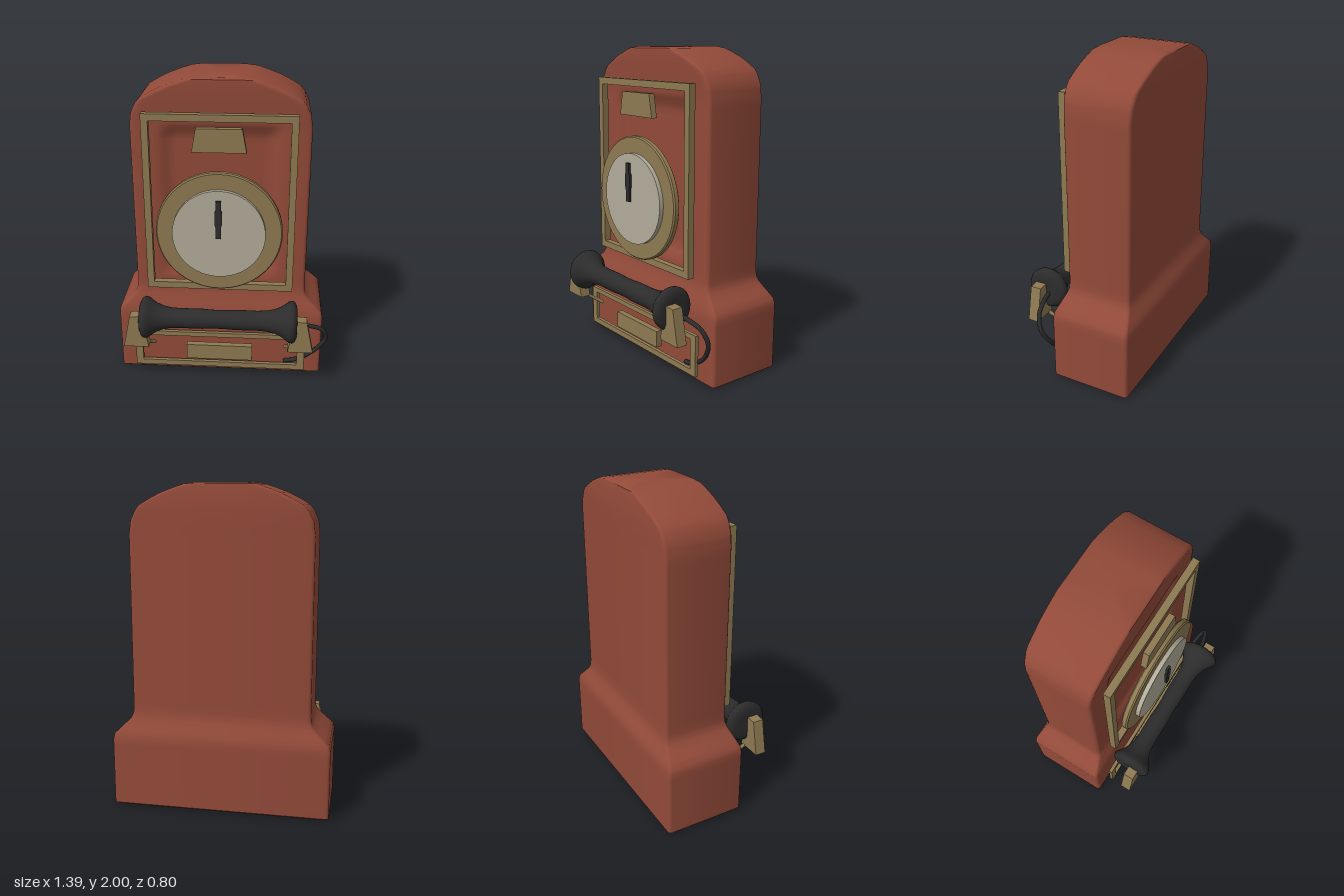
import * as THREE from 'three';
import { toCreasedNormals } from 'three/addons/utils/BufferGeometryUtils.js';

const mat = (name, color) => new THREE.MeshStandardMaterial({ name, color });
const CX = -0.019; // shared centre line of the telephone

// Housing: rounded rectangles stacked upward, with a soft recess in the front
function housingGeometry() {
  // y, half width, front z, back z, corner radius in x
  const keys = [
    [0, 0.66, 0.095, -0.39, 0.02], [0.012, 0.675, 0.11, -0.404, 0.02],
    [0.43, 0.675, 0.11, -0.404, 0.02], [0.465, 0.667, 0.105, -0.399, 0.02],
    [0.56, 0.57, 0.072, -0.365, 0.02], [0.59, 0.555, 0.064, -0.358, 0.02],
    [0.63, 0.551, 0.06, -0.355, 0.02], [1.7, 0.551, 0.064, -0.356, 0.02],
    [1.78, 0.54, 0.068, -0.358, 0.022], [1.84, 0.51, 0.072, -0.361, 0.025],
    [1.87, 0.485, 0.074, -0.363, 0.03], [1.905, 0.425, 0.076, -0.365, 0.04],
    [1.94, 0.355, 0.077, -0.367, 0.05], [1.97, 0.275, 0.077, -0.367, 0.05],
    [1.99, 0.215, 0.076, -0.366, 0.05], [2, 0.15, 0.064, -0.354, 0.04],
  ];
  const rows = [keys[0]];
  for (let i = 1; i < keys.length; i++) {
    const steps = Math.ceil((keys[i][0] - keys[i - 1][0]) / 0.04);
    for (let s = 1; s <= steps; s++) {
      rows.push(keys[i].map((v, k) => THREE.MathUtils.lerp(keys[i - 1][k], v, s / steps)));
    }
  }
  const smooth = THREE.MathUtils.smoothstep;
  const recess = (x, y) => 0.04 * (1 - smooth(Math.abs(x), 0.3, 0.38))
    * smooth(y, 0.7, 0.78) * (1 - smooth(y, 1.64, 1.72));
  const FRONT = 28, RZ = 0.02, pos = [], index = [];
  for (const [y, hw, zf, zb, rx] of rows) {
    for (let q = 0; q < 4; q++) for (let k = 0; k <= 3; k++) {
      const a = Math.PI / 2 * (1 - q - k / 3);
      const sx = q < 2 ? 1 : -1;
      const cz = q === 0 || q === 3 ? zf - RZ : zb + RZ;
      pos.push(CX + sx * (hw - rx) + rx * Math.cos(a), y, cz + RZ * Math.sin(a));
    }
    for (let k = 1; k < FRONT; k++) {
      const x = (hw - rx) * (2 * k / FRONT - 1);
      pos.push(CX + x, y, zf - recess(x, y));
    }
  }
  const n = 16 + FRONT - 1;
  for (let i = 0; i < rows.length - 1; i++) for (let j = 0; j < n; j++) {
    const a = i * n + j, b = i * n + (j + 1) % n;
    index.push(a, b, b + n, a, b + n, a + n);
  }
  // Bottom and top caps
  const last = (rows.length - 1) * n;
  pos.push(CX, 0, -0.15, CX, 2, -0.15);
  const low = last + n, high = low + 1;
  for (let j = 0; j < n; j++) {
    const k = (j + 1) % n;
    index.push(low, k, j, high, last + j, last + k);
  }
  const g = new THREE.BufferGeometry();
  g.setAttribute('position', new THREE.Float32BufferAttribute(pos, 3));
  g.setIndex(index);
  return toCreasedNormals(g, 0.7);
}

const polygon = pts => new THREE.Shape(pts.map(p => new THREE.Vector2(...p)));
const rect = (x0, y0, x1, y1) => [[x0, y0], [x1, y0], [x1, y1], [x0, y1]];

// Extrude a flat outline between two depths
function slab(shape, z0, z1) {
  return new THREE.ExtrudeGeometry(shape, { depth: z1 - z0, bevelEnabled: false, curveSegments: 48 })
    .translate(0, 0, z0);
}

function frame(outer, inner, z0, z1) {
  const s = polygon(outer);
  s.holes.push(polygon(inner));
  return slab(s, z0, z1);
}

export function createModel() {
  const red = mat('redHousing', 0x924a39);
  const brass = mat('agedBrass', 0x8e7a52);
  const ivory = mat('ivoryDial', 0xb2ac9a);
  const black = mat('blackHandset', 0x2c2c2c);
  const model = new THREE.Group();
  model.name = 'wallTelephone';
  const add = (name, geometry, material, parent = model) => {
    const m = new THREE.Mesh(geometry, material);
    m.name = name;
    parent.add(m);
    return m;
  };

  add('housing', housingGeometry(), red);

  // Brass trim on the front
  add('upperFrame', frame(rect(-0.486, 0.645, 0.448, 1.8), rect(-0.443, 0.688, 0.405, 1.757), 0.1, 0.144), brass);
  add('lowerFrame', frame(rect(-0.585, 0.057, 0.546, 0.322), rect(-0.537, 0.094, 0.497, 0.29), 0.139, 0.163), brass);
  add('lowerPlate', slab(polygon(rect(-0.237, 0.135, 0.198, 0.242)), 0.15, 0.19), brass);
  add('topBadge', slab(polygon([[-0.183, 1.582], [0.146, 1.582], [0.119, 1.727], [-0.156, 1.727]]), 0.144, 0.183), brass);

  // Dial: bevelled ring, face and pointer
  const dial = new THREE.Group();
  dial.name = 'dial';
  dial.position.set(CX, 1.066, 0);
  model.add(dial);
  const ringProfile = [[0.285, 0.147], [0.385, 0.147], [0.393, 0.155], [0.393, 0.181], [0.385, 0.19], [0.285, 0.19], [0.285, 0.147]];
  const ring = new THREE.LatheGeometry(ringProfile.map(p => new THREE.Vector2(...p)), 64).rotateX(Math.PI / 2);
  add('dialRing', toCreasedNormals(ring, 0.6), brass, dial);
  add('dialFace', new THREE.CylinderGeometry(0.288, 0.288, 0.067, 64).rotateX(Math.PI / 2).translate(0, 0, 0.184), ivory, dial);
  const half = [[0.016, -0.012], [0.016, 0.06], [0.023, 0.085], [0.023, 0.16], [0.016, 0.17], [0.016, 0.232]];
  const hand = [...half, ...half.map(([x, y]) => [-x, y]).reverse()];
  add('dialPointer', slab(polygon(hand), 0.234, 0.25), black, dial);

  // Handset turned around the x axis
  const side = [[0, 0.497], [0.06, 0.502], [0.1, 0.5], [0.125, 0.488], [0.135, 0.472], [0.132, 0.452], [0.115, 0.43],
    [0.095, 0.4], [0.078, 0.36], [0.067, 0.31], [0.063, 0.25], [0.064, 0.18], [0.064, 0.1], [0.06, 0.04]];
  const profile = [...side.map(([r, x]) => new THREE.Vector2(r, -x)),
    ...side.slice().reverse().map(([r, x]) => new THREE.Vector2(r, x))];
  const handset = add('handset', new THREE.LatheGeometry(profile, 40).rotateZ(-Math.PI / 2), black);
  handset.position.set(CX, 0.493, 0.265);

  // Cradle brackets with their support arms
  const rod = (pts, r) => new THREE.TubeGeometry(
    new THREE.CatmullRomCurve3(pts.map(p => new THREE.Vector3(...p))), 40, r, 10);
  for (const s of [-1, 1]) {
    const cradle = new THREE.Group();
    cradle.name = s > 0 ? 'leftCradle' : 'rightCradle';
    cradle.position.x = CX;
    model.add(cradle);
    const outline = [[0.445, 0.31], [0.607, 0.31], [0.562, 0.53], [0.49, 0.535]].map(([x, y]) => [s * x, y]);
    add('cradleBracket', slab(polygon(outline), 0.265, 0.335), brass, cradle);
    add('cradleArm', rod([[s * 0.475, 0.32, 0.285], [s * 0.455, 0.27, 0.21], [s * 0.435, 0.24, 0.165]], 0.012), brass, cradle);
  }

  // Cord looping from the handset to the base
  add('cord', rod([[0.44, 0.47, 0.255], [0.565, 0.45, 0.235], [0.65, 0.41, 0.21], [0.678, 0.33, 0.18],
    [0.63, 0.23, 0.15], [0.56, 0.16, 0.135], [0.48, 0.115, 0.128], [0.41, 0.1, 0.125]], 0.014), black);
  return model;
}
